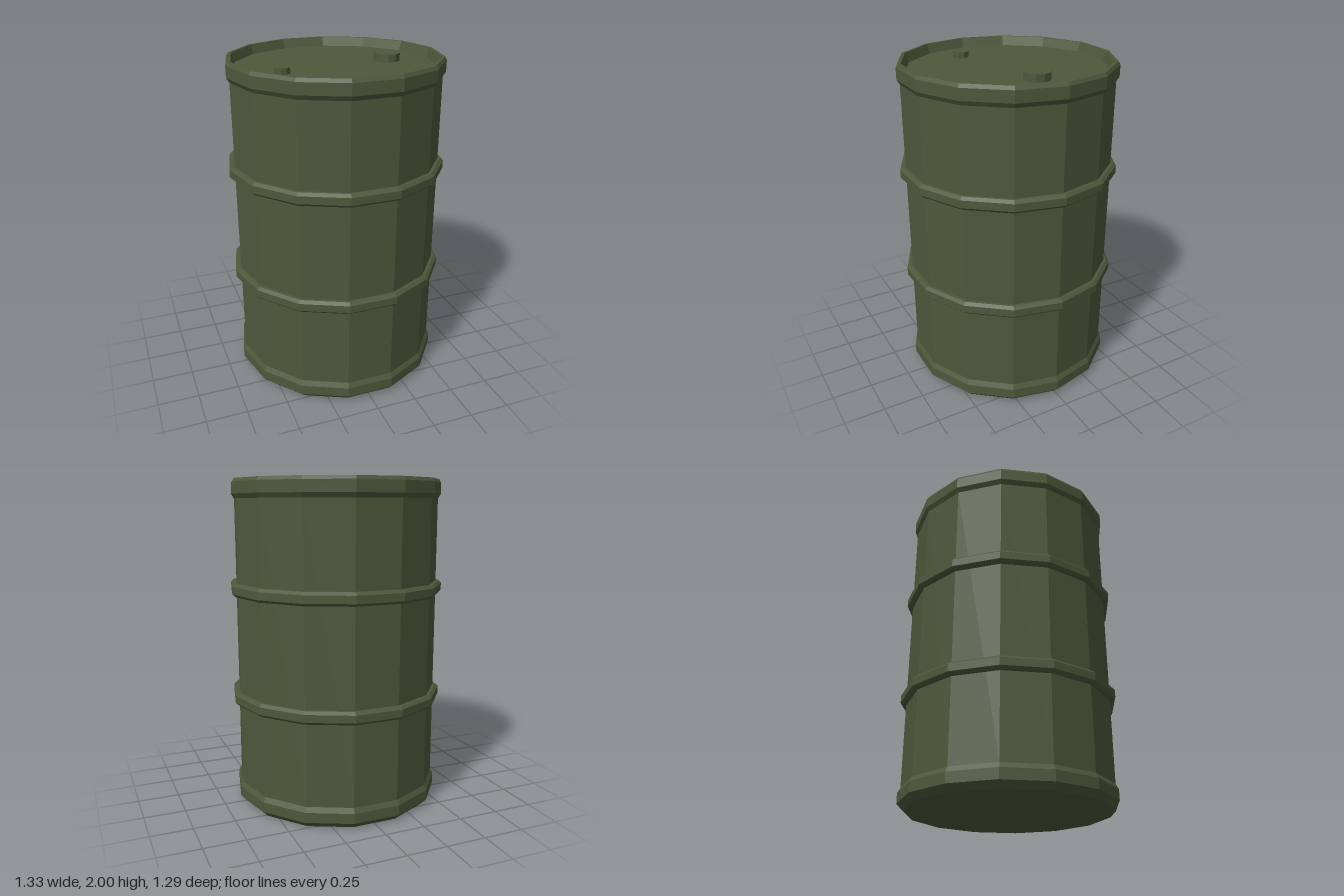
import * as THREE from 'three';

const SIDES = 14;
const paint = new THREE.MeshStandardMaterial({ color: 0x50573b, flatShading: true });

// Faceted ring or shell from a [radius, height] profile, with a corner on the x axis
function lathe(name, profile) {
  const points = profile.map(([r, y]) => new THREE.Vector2(r, y));
  const mesh = new THREE.Mesh(new THREE.LatheGeometry(points, SIDES, Math.PI / 2), paint);
  mesh.name = name;
  return mesh;
}

// Short plug sitting on the recessed lid
function bung(name, x, z, radius, base, height) {
  const mesh = new THREE.Mesh(new THREE.CylinderGeometry(radius, radius, height, 10), paint);
  mesh.geometry.rotateY(Math.PI / 2);
  mesh.position.set(x, base + height / 2, z);
  mesh.name = name;
  return mesh;
}

export function createModel() {
  const drum = new THREE.Group();
  drum.name = 'drum';
  const body = 0.63, lidY = 1.945;

  // Flat base with chamfered bottom rim
  drum.add(lathe('bottomRim', [[0, 0], [0.61, 0], [0.647, 0.038], [0.647, 0.1], [body, 0.13]]));

  // Plain wall
  drum.add(lathe('wall', [[body, 0.13], [body, 1.885]]));

  // Top rim, folding in and down to the lid
  drum.add(lathe('topRim', [
    [body, 1.885], [0.647, 1.912], [0.647, 1.98], [0.635, 2], [0.617, 2], [0.597, lidY],
  ]));
  drum.add(lathe('lid', [[0.597, lidY], [0, lidY]]));

  // Two raised rolling hoops
  for (const [name, y] of [['lowerHoop', 0.675], ['upperHoop', 1.347]]) {
    drum.add(lathe(name, [
      [body, y - 0.04], [0.647, y - 0.04], [0.664, y - 0.024],
      [0.664, y + 0.022], [0.647, y + 0.039], [body, y + 0.039],
    ]));
  }

  // Filler and vent plugs
  drum.add(bung('fillerBung', 0.333, 0, 0.078, lidY, 0.045));
  drum.add(bung('ventBung', -0.36, 0.13, 0.048, lidY, 0.035));
  return drum;
}
